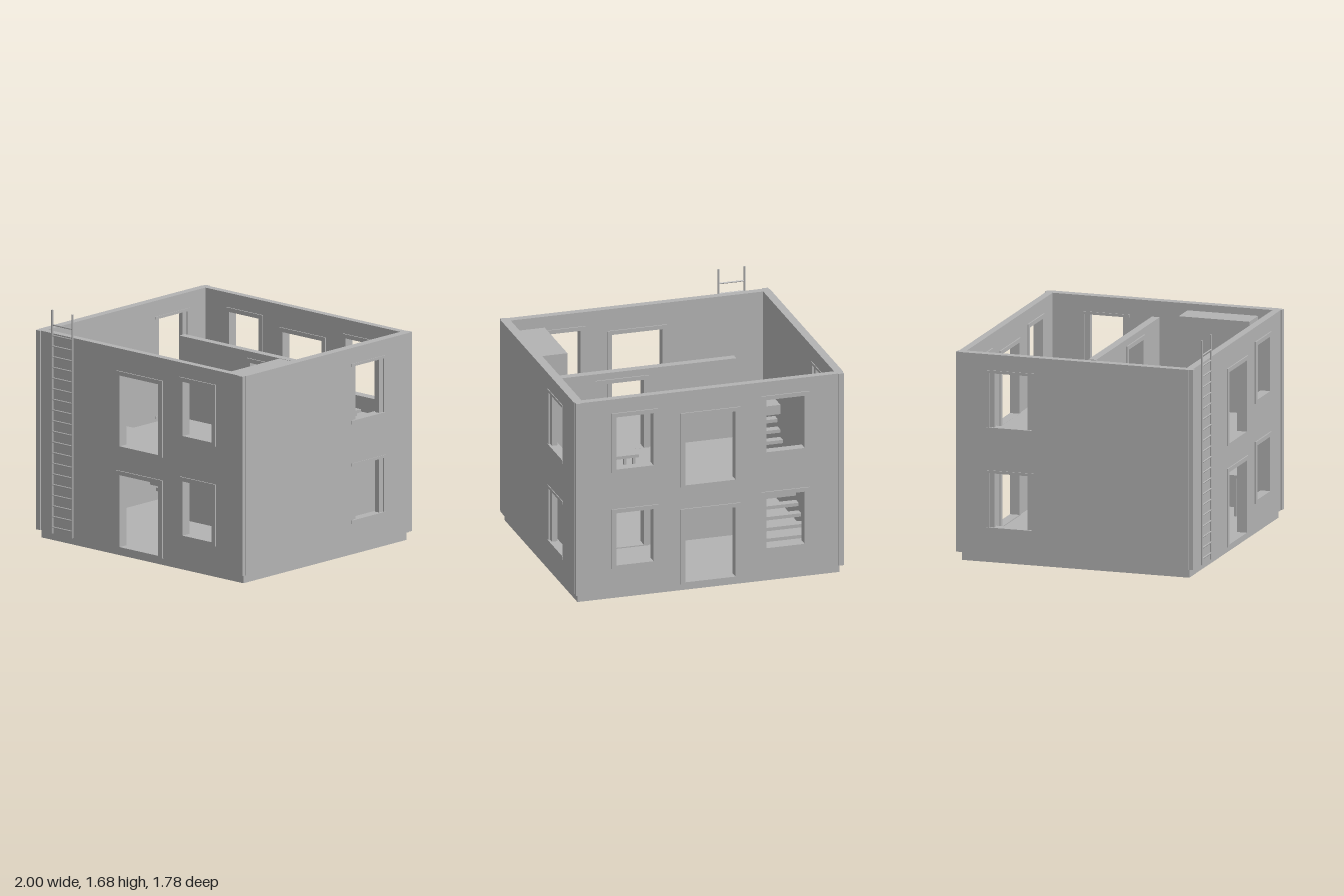
import * as THREE from 'three';

const grey = new THREE.MeshStandardMaterial({ color: 0xb3b3b3 });
grey.name = 'plain grey';

const BASE = 0.062, TOP = 1.508, FLOOR = 0.8;

function add(parent, name, geometry) {
  const mesh = new THREE.Mesh(geometry, grey);
  mesh.name = name;
  parent.add(mesh);
  return mesh;
}

// Box given by its extents on each axis
function box(parent, name, x0, x1, y0, y1, z0, z1) {
  const mesh = add(parent, name, new THREE.BoxGeometry(x1 - x0, y1 - y0, z1 - z0));
  mesh.position.set((x0 + x1) / 2, (y0 + y1) / 2, (z0 + z1) / 2);
  return mesh;
}

function rectPoints([u0, u1, y0, y1]) {
  return [[u0, y0], [u1, y0], [u1, y1], [u0, y1]].map(p => new THREE.Vector2(...p));
}

// Flat slab with rectangular holes, from depth 0 to the given depth
function slab(outer, holes, depth) {
  const shape = new THREE.Shape(rectPoints(outer));
  holes.forEach(h => shape.holes.push(new THREE.Path(rectPoints(h).reverse())));
  return new THREE.ExtrudeGeometry(shape, { depth, bevelEnabled: false });
}

// Wall across x with a proud frame around every opening
function wallX(parent, name, outer, z0, z1, holes) {
  const g = new THREE.Group();
  g.name = name;
  add(g, 'wallPanel', slab(outer, holes, z1 - z0)).position.z = z0;
  for (const h of holes) {
    const [a, b, y0, y1] = h;
    const isDoor = b - a > 0.3;
    const rim = [a - 0.036, b + 0.036, y0 - (isDoor ? 0.014 : 0.025), y1 + 0.03];
    add(g, 'openingFrame', slab(rim, [h], z1 - z0 + 0.018)).position.z = z0 - 0.009;
  }
  parent.add(g);
}

// Side wall along z: recessed jambs, projecting lintel and sill
function wallZ(parent, name, x0, x1, windowZ) {
  const g = new THREE.Group();
  g.name = name;
  const levels = [[0.257, 0.65], [0.98, 1.373]];
  const holes = levels.map(([y0, y1]) => [windowZ - 0.16, windowZ + 0.16, y0, y1]);
  const panel = add(g, 'wallPanel', slab([-0.852, 0.837, BASE, TOP], holes, x1 - x0));
  panel.rotation.y = -Math.PI / 2;
  panel.position.x = x1;
  for (const [y0, y1] of levels) {
    for (const s of [-1, 1]) {
      const za = windowZ + s * 0.122, zb = windowZ + s * 0.161;
      box(g, 'windowJamb', x0 + 0.012, x1 - 0.012, y0, y1, Math.min(za, zb), Math.max(za, zb));
    }
    box(g, 'windowLintel', x0 - 0.005, x1 + 0.005, y1, y1 + 0.02, windowZ - 0.177, windowZ + 0.177);
    box(g, 'windowSill', x0 - 0.005, x1 + 0.005, y0 - 0.025, y0, windowZ - 0.177, windowZ + 0.177);
  }
  parent.add(g);
}

// Top on four legs, used for tables and benches
function table(parent, name, x0, x1, z0, z1, floor, top) {
  const g = new THREE.Group();
  g.name = name;
  box(g, 'tableTop', x0, x1, top - 0.022, top, z0, z1);
  for (const x of [x0 + 0.02, x1 - 0.04]) {
    for (const z of [z0 + 0.02, z1 - 0.04]) {
      box(g, 'tableLeg', x, x + 0.02, floor, top - 0.022, z, z + 0.02);
    }
  }
  parent.add(g);
}

export function createModel() {
  const house = new THREE.Group();
  house.name = 'house';

  // Base, which is also the ground floor
  box(house, 'base', -0.968, 0.968, 0, BASE, -0.852, 0.837);

  // Upper floor with the stairwell left open
  const upper = new THREE.Group();
  upper.name = 'upperFloor';
  box(upper, 'floorMain', -0.48, 0.935, 0.73, FLOOR, -0.828, 0.808);
  box(upper, 'floorBack', -0.935, -0.48, 0.73, FLOOR, -0.828, -0.435);
  box(upper, 'floorFront', -0.935, -0.48, 0.73, FLOOR, 0.41, 0.808);
  house.add(upper);

  // Front and back walls
  const door = [[-0.188, 0.183, 0.07, 0.592], [-0.188, 0.183, 0.801, 1.315]];
  const leftWindows = [[0.417, 0.692, 0.257, 0.65], [0.417, 0.692, 0.98, 1.373]];
  const rightWindows = leftWindows.map(([a, b, y0, y1]) => [-b - 0.007, -a, y0, y1]);
  const outline = [-0.955, 0.955, 0.06, TOP];
  wallX(house, 'frontWall', outline, 0.808, 0.862, [...door, ...leftWindows]);
  wallX(house, 'backWall', outline, -0.88, -0.828, [...door, ...leftWindows, ...rightWindows]);

  // Side walls
  wallZ(house, 'leftWall', 0.93, 0.995, -0.431);
  wallZ(house, 'rightWall', -0.995, -0.935, -0.484);

  // Corner posts
  for (const s of [-1, 1]) {
    const [a, b] = s > 0 ? [0.947, 0.989] : [-0.989, -0.947];
    box(house, 'frontCornerPost', a, b, BASE, TOP, 0.828, 0.871);
    box(house, 'backCornerPost', a, b, BASE, TOP, -0.889, -0.845);
  }

  // Inner walls, each with one doorway
  wallX(house, 'lowerPartition', [-0.45, 0.932, BASE, 0.73], -0.09, -0.032, [[0.236, 0.556, 0.07, 0.592]]);
  wallX(house, 'upperPartition', [-0.45, 0.932, 0.78, 1.392], -0.09, -0.032, [[0.236, 0.556, 0.801, 1.313]]);

  // Stairs
  const stairs = new THREE.Group();
  stairs.name = 'stairs';
  for (let i = 0; i < 12; i++) {
    const y = BASE + (i + 1) * 0.0568, z = -0.372 + i * 0.0605;
    box(stairs, 'stairTread', -0.877, -0.518, y - 0.025, y, z, z + 0.0605);
  }
  house.add(stairs);

  // Furniture
  box(house, 'wardrobe', 0.71, 0.9, FLOOR, 1.465, 0.185, 0.71);
  box(house, 'cupboard', 0.74, 0.928, BASE, 0.69, -0.7, -0.2);
  table(house, 'diningTable', 0.432, 0.765, -0.603, -0.337, FLOOR, 0.96);
  table(house, 'backBench', 0.48, 0.717, -0.757, -0.637, FLOOR, 0.89);
  table(house, 'frontBench', 0.48, 0.717, -0.298, -0.178, FLOOR, 0.89);
  table(house, 'lowerTable', 0.645, 0.9, 0.2, 0.65, BASE, 0.363);

  // Ladder against the front wall
  const ladder = new THREE.Group();
  ladder.name = 'ladder';
  for (const x of [-0.821, -0.628]) {
    const rail = add(ladder, 'ladderRail', new THREE.CylinderGeometry(0.008, 0.008, 1.622, 10));
    rail.position.set(x, 0.873, 0.882);
  }
  for (let i = 0; i < 20; i++) {
    const rung = add(ladder, 'ladderRung', new THREE.CylinderGeometry(0.006, 0.006, 0.193, 8));
    rung.rotation.z = Math.PI / 2;
    rung.position.set(-0.7245, 0.108 + i * 0.0773, 0.882);
  }
  house.add(ladder);

  return house;
}
